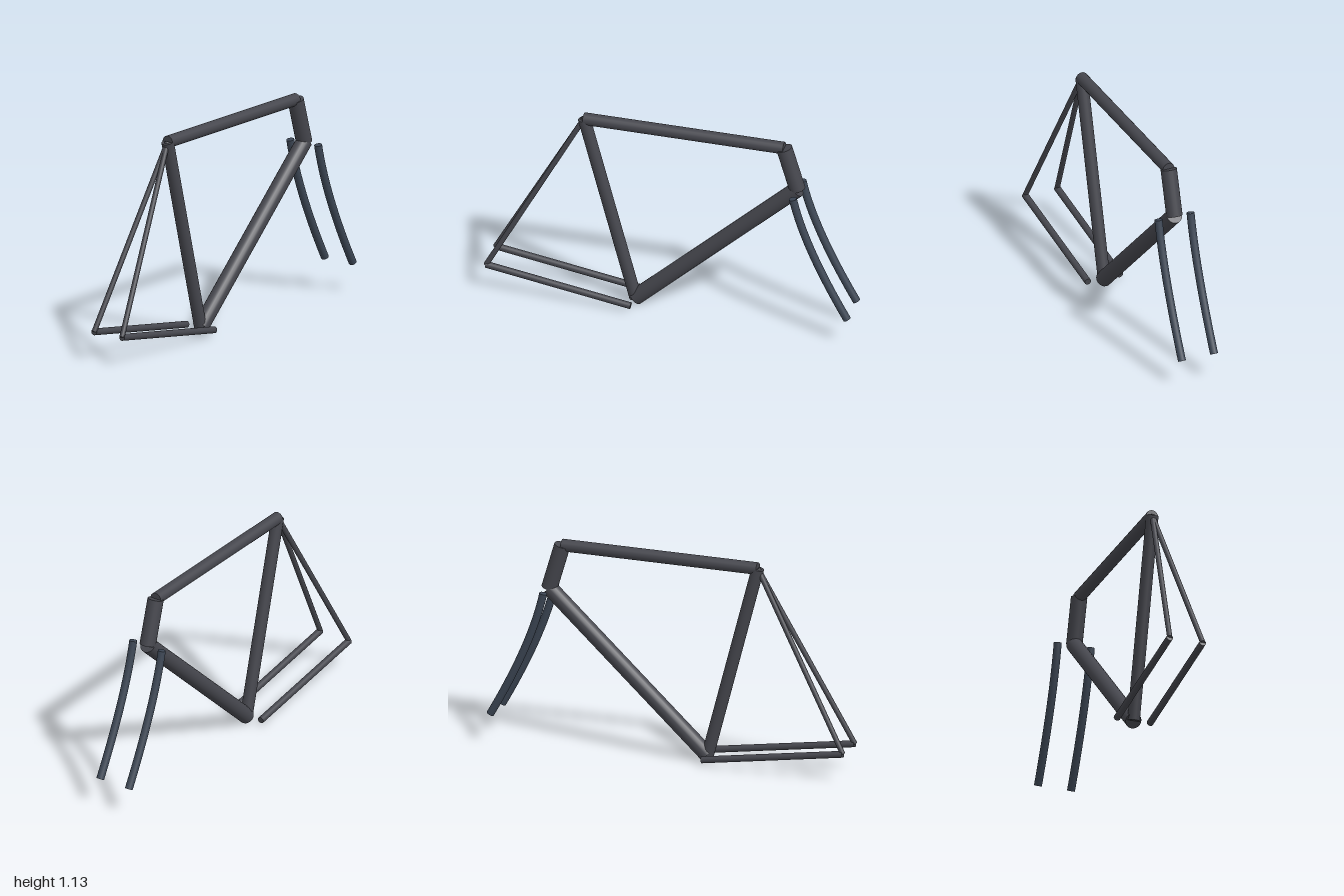
import * as THREE from 'three';

const frameMat = new THREE.MeshStandardMaterial({ color: 0x45464d });
const forkMat = new THREE.MeshStandardMaterial({ color: 0x3c4654 });

const SPREAD = 0.0925; // half distance between the paired stays and blades
const point = (x, y, z = 0) => new THREE.Vector3(x, y, z);

// Straight capped tube between two points
function straightTube(name, from, to, radius) {
  const axis = to.clone().sub(from);
  const geometry = new THREE.CylinderGeometry(radius, radius, axis.length(), 20);
  const mesh = new THREE.Mesh(geometry, frameMat);
  mesh.name = name;
  mesh.position.copy(from).add(to).multiplyScalar(0.5);
  mesh.quaternion.setFromUnitVectors(point(0, 1), axis.normalize());
  return mesh;
}

// Curved fork blade with flat ends
function forkBlade(name, z) {
  const radius = 0.021;
  const curve = new THREE.QuadraticBezierCurve3(
    point(0.683, 0.853, z), point(0.746, 0.565, z), point(0.978, 0.155, z));
  const blade = new THREE.Group();
  blade.name = name;
  const tube = new THREE.Mesh(new THREE.TubeGeometry(curve, 24, radius, 16), forkMat);
  tube.name = 'bladeTube';
  blade.add(tube);
  for (const end of [0, 1]) {
    const cap = new THREE.Mesh(new THREE.CircleGeometry(radius, 16), forkMat);
    cap.name = end ? 'lowerCap' : 'upperCap';
    cap.position.copy(curve.getPoint(end));
    const outward = curve.getTangent(end).multiplyScalar(end ? 1 : -1);
    cap.quaternion.setFromUnitVectors(point(0, 0, 1), outward);
    blade.add(cap);
  }
  return blade;
}

export function createModel() {
  const model = new THREE.Group();
  model.name = 'bicycleFrame';

  // Joints of the frame
  const seatTop = point(-0.48, 1.094);
  const crank = point(-0.2, 0.032);
  const headTop = point(0.61, 1.1);
  const headBottom = point(0.682, 0.857);

  // Main frame
  model.add(
    straightTube('topTube', seatTop, headTop, 0.033),
    straightTube('seatTube', seatTop, crank, 0.033),
    straightTube('downTube', crank, headBottom, 0.043),
    straightTube('headTube', headTop, headBottom, 0.043));

  // Paired rear stays and fork blades
  for (const [side, s] of [['front', 1], ['back', -1]]) {
    const axle = point(-0.987, 0.155, s * SPREAD);
    model.add(
      straightTube(side + 'SeatStay', seatTop, axle, 0.014),
      straightTube(side + 'ChainStay', axle, point(crank.x, crank.y + 0.002, s * SPREAD), 0.018),
      forkBlade(side + 'ForkBlade', s * SPREAD));
  }
  return model;
}
